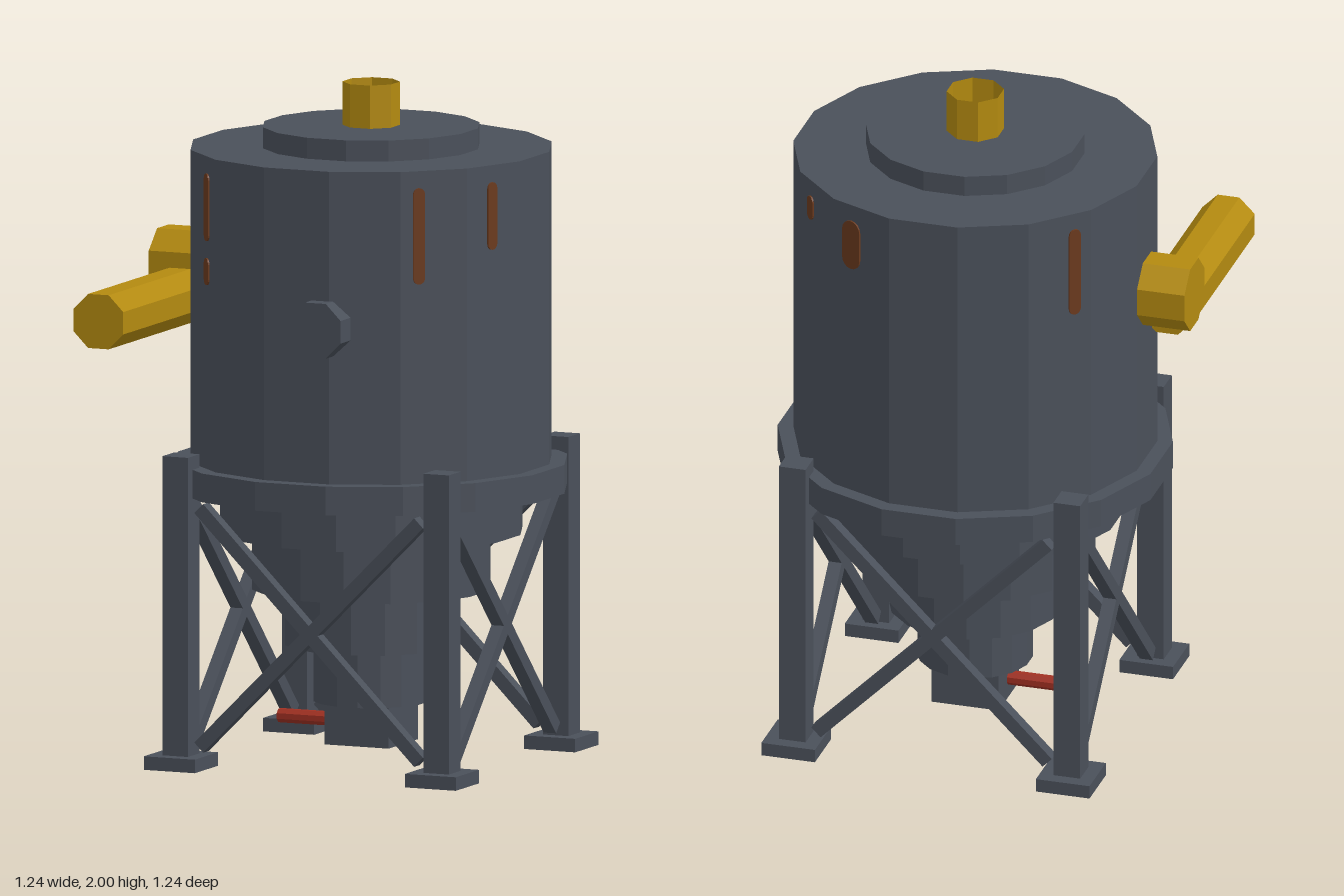
import * as THREE from 'three';

const SIDES = 16;
const CX = 0.05, CZ = -0.055; // silo axis

const steel = new THREE.MeshStandardMaterial({ color: 0x4a505a });
steel.name = 'dark steel';
const yellow = new THREE.MeshStandardMaterial({ color: 0xb38a10, side: THREE.DoubleSide });
yellow.name = 'pipe yellow';
const rust = new THREE.MeshStandardMaterial({ color: 0x6b3a1e });
rust.name = 'rust brown';
const red = new THREE.MeshStandardMaterial({ color: 0xa03022 });
red.name = 'handle red';

// Faceted mesh
function part(parent, name, geometry, material, x = 0, y = 0, z = 0) {
  const g = geometry.index ? geometry.toNonIndexed() : geometry;
  g.computeVertexNormals();
  const mesh = new THREE.Mesh(g, material);
  mesh.name = name;
  mesh.position.set(x, y, z);
  parent.add(mesh);
  return mesh;
}

// Prism whose flats face the axes, sized by its flat-to-centre distance
function prism(apothem, length, sides, open = false) {
  const r = apothem / Math.cos(Math.PI / sides);
  return new THREE.CylinderGeometry(r, r, length, sides, 1, open, Math.PI / sides);
}

// Upright flat strip with rounded ends
function streakGeometry(width, height) {
  const r = width / 2, h = height / 2 - r;
  const s = new THREE.Shape();
  s.moveTo(r, -h);
  s.lineTo(r, h);
  s.absarc(0, h, r, 0, Math.PI, false);
  s.lineTo(-r, -h);
  s.absarc(0, -h, r, Math.PI, 2 * Math.PI, false);
  return new THREE.ExtrudeGeometry(s, { depth: 0.008, bevelEnabled: false, curveSegments: 4 });
}

export function createModel() {
  const model = new THREE.Group();
  model.name = 'silo';
  const silo = new THREE.Group();
  silo.name = 'siloOnAxis';
  silo.position.set(CX, 0, CZ);
  model.add(silo);

  // Tank, lid, flange and stepped hopper: name, apothem, bottom, top
  const bodyApothem = 0.525;
  const drums = [
    ['tank', bodyApothem, 0.84, 1.81],
    ['lid', 0.315, 1.81, 1.872],
    ['flange', 0.57, 0.8, 0.885],
    ['hopperStep1', 0.44, 0.673, 0.8],
    ['hopperStep2', 0.347, 0.505, 0.673],
    ['hopperStep3', 0.251, 0.338, 0.505],
    ['hopperStep4', 0.167, 0.17, 0.338],
  ];
  for (const [name, a, y0, y1] of drums) {
    part(silo, name, prism(a, y1 - y0, SIDES), steel, 0, (y0 + y1) / 2, 0);
  }

  // Outlet box with slide handle
  part(silo, 'outletBox', new THREE.BoxGeometry(0.206, 0.125, 0.206), steel, 0, 0.1085, 0);
  const handle = part(silo, 'outletHandle', prism(0.02, 0.2, 8), red, -0.195, 0.107, 0);
  handle.rotation.z = Math.PI / 2;

  // Open vent pipe on the lid
  part(silo, 'ventPipe', prism(0.078, 0.13, 8, true), yellow, 0, 1.935, 0);

  // Legs and feet
  for (const sx of [-1, 1]) {
    for (const sz of [-1, 1]) {
      part(silo, 'leg', new THREE.BoxGeometry(0.082, 0.905, 0.082), steel, sx * 0.42, 0.4725, sz * 0.42);
      part(silo, 'foot', new THREE.BoxGeometry(0.164, 0.04, 0.164), steel, sx * 0.42, 0.02, sz * 0.42);
    }
  }

  // Crossed braces on all four sides
  for (let i = 0; i < 4; i++) {
    const side = new THREE.Group();
    side.name = 'bracedSide';
    side.rotation.y = (i * Math.PI) / 2;
    silo.add(side);
    for (const s of [-1, 1]) {
      const brace = part(side, 'brace', new THREE.BoxGeometry(1.0, 0.04, 0.04), steel, 0, 0.42, 0.42);
      brace.rotation.z = (s * Math.PI) / 4;
    }
  }

  // Inspection hatch on the front
  const hatch = part(model, 'hatch', prism(0.081, 0.09, 8), steel, 0.132, 1.345, 0.472);
  hatch.rotation.x = Math.PI / 2;

  // Side inlet and the fill pipe running forward from it
  const inlet = part(model, 'inletStub', prism(0.1, 0.17, 8), yellow, -0.535, 1.43, CZ);
  inlet.rotation.z = Math.PI / 2;
  const fill = part(model, 'fillPipe', prism(0.08, 0.62, 8), yellow, -0.52, 1.345, 0.308);
  fill.rotation.x = Math.PI / 2;

  // Rust streaks laid on the tank facets: angle from front, bottom, top, width
  const streaks = [
    [39.9, 1.475, 1.76, 0.036],
    [66.8, 1.56, 1.76, 0.036],
    [-41, 1.56, 1.76, 0.036],
    [-41, 1.43, 1.51, 0.036],
    [131, 1.685, 1.76, 0.034],
    [153.5, 1.605, 1.76, 0.065],
    [-129.7, 1.485, 1.76, 0.038],
  ];
  const step = 360 / SIDES;
  for (const [angle, y0, y1, width] of streaks) {
    const facet = Math.round(angle / step) * step;
    const holder = new THREE.Group();
    holder.name = 'rustStreakFacet';
    holder.rotation.y = THREE.MathUtils.degToRad(facet);
    silo.add(holder);
    const shift = Math.tan(THREE.MathUtils.degToRad(angle - facet)) * bodyApothem;
    part(holder, 'rustStreak', streakGeometry(width, y1 - y0), rust, shift, (y0 + y1) / 2, bodyApothem - 0.003);
  }

  return model;
}
